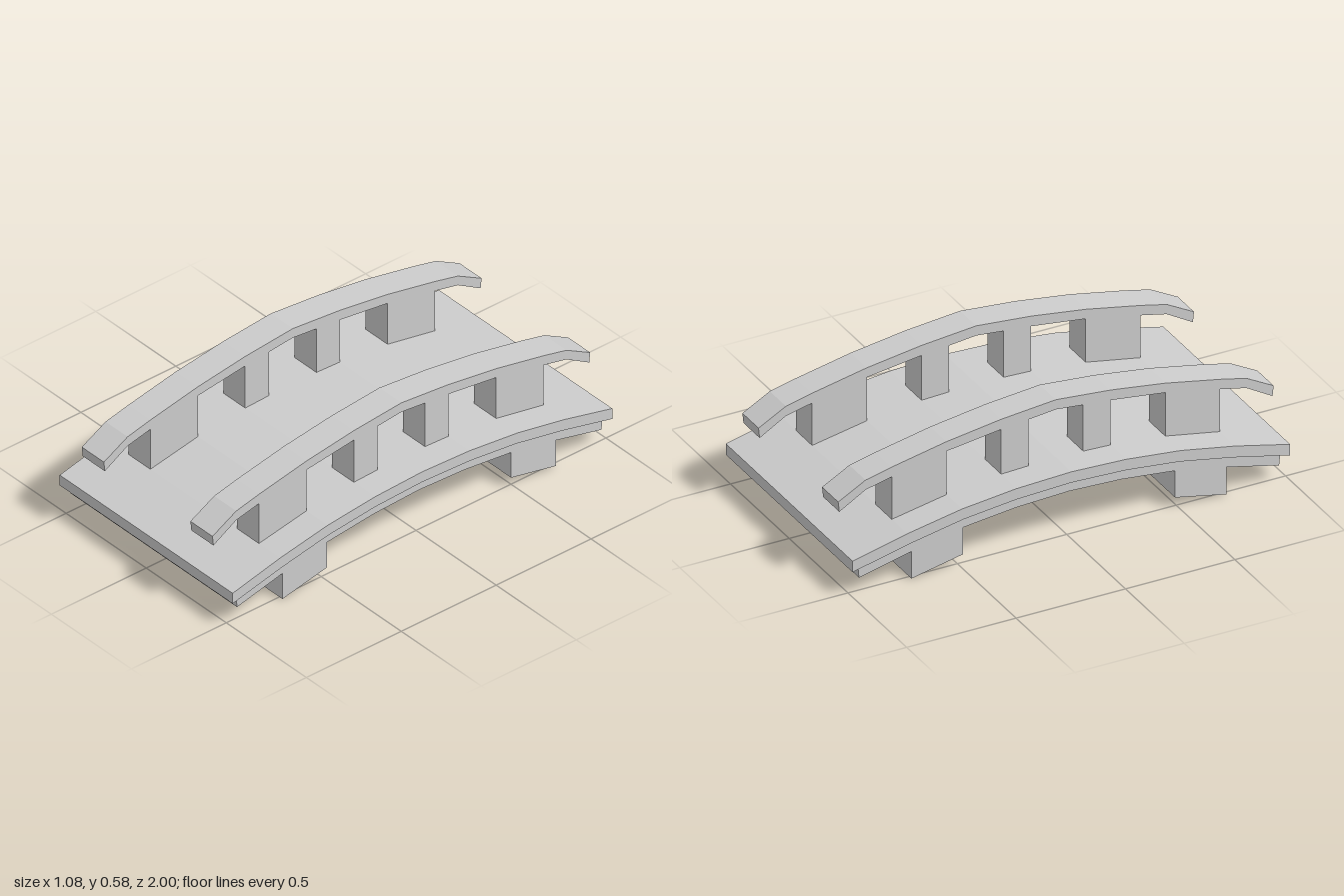
import * as THREE from 'three';

const material = new THREE.MeshStandardMaterial({ color: 0xcccccc, flatShading: true });

// Half profiles as [z, y], from the middle of the span to its end
const deckTop = [[0, 0.312], [0.25, 0.302], [0.5, 0.275], [0.75, 0.228], [1, 0.168]];
const deckBottom = [[0, 0.262], [0.25, 0.252], [0.495, 0.225], [0.74, 0.178], [0.988, 0.117]];
const slabTop = [[0, 0.261], [0.25, 0.251], [0.495, 0.224], [0.74, 0.177], [0.965, 0.122]];
const slabBottom = [[0, 0.212], [0.24, 0.202], [0.485, 0.175], [0.72, 0.128], [0.96, 0.071]];
const railTop = [[0, 0.58], [0.25, 0.557], [0.5, 0.521], [0.75, 0.471], [0.87, 0.443], [0.995, 0.375]];
const railBottom = [[0, 0.535], [0.125, 0.522], [0.25, 0.51], [0.5, 0.477], [0.75, 0.425], [0.87, 0.398], [0.99, 0.328]];
deckBottom[4][0] = 1;

// Extrudes a (z, y) outline along x, centred on the given x
function slice(name, outline, x, width) {
  const shape = new THREE.Shape(outline.map(([z, y]) => new THREE.Vector2(z, y)));
  const geometry = new THREE.ExtrudeGeometry(shape, { depth: width, bevelEnabled: false });
  geometry.translate(0, 0, -width / 2).rotateY(-Math.PI / 2).translate(x, 0, 0);
  const mesh = new THREE.Mesh(geometry, material);
  mesh.name = name;
  return mesh;
}

// Mirrors half profiles into a closed arch outline
const flip = (points) => points.map(([z, y]) => [-z, y]);
const span = (half) => [...flip(half.slice(1)).reverse(), ...half];
const arch = (top, bottom) => [...span(bottom), ...span(top).reverse()];

export function createModel() {
  const group = new THREE.Group();
  group.name = 'archedBridge';

  // Walkway and the slightly narrower slab beneath it
  group.add(slice('deck', arch(deckTop, deckBottom), 0, 1.08));
  group.add(slice('underSlab', arch(slabTop, slabBottom), 0, 1.04));

  // Post outlines between deck and rail, and slanted foot outline
  const innerPost = [[0.125, 0.3], [0.25, 0.295], [0.25, 0.515], [0.125, 0.527]];
  const outerPost = [[0.5, 0.268], [0.75, 0.22], [0.75, 0.43], [0.5, 0.482]];
  const foot = [[0.485, 0.05], [0.72, 0.001], [0.72, 0.135], [0.485, 0.182]];

  for (const side of [1, -1]) {
    const label = side > 0 ? 'left' : 'right';
    group.add(slice(label + 'Handrail', arch(railTop, railBottom), side * 0.339, 0.138));
    for (const end of [1, -1]) {
      const place = (points) => (end > 0 ? points : flip(points));
      const suffix = end > 0 ? 'Front' : 'Back';
      group.add(slice(label + suffix + 'InnerPost', place(innerPost), side * 0.339, 0.137));
      group.add(slice(label + suffix + 'OuterPost', place(outerPost), side * 0.339, 0.137));
      group.add(slice(label + suffix + 'Foot', place(foot), side * 0.39, 0.258));
    }
  }
  return group;
}
